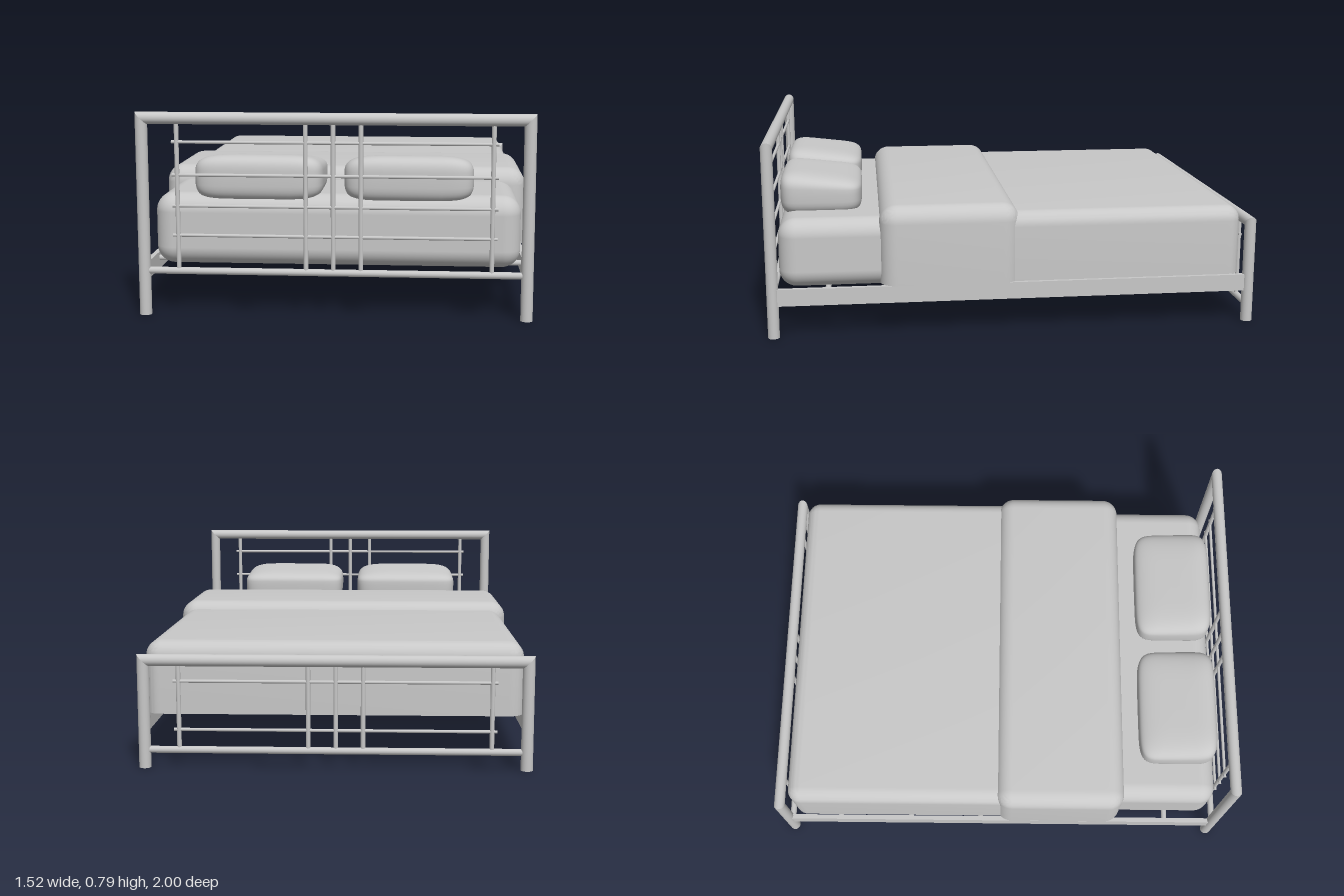
import * as THREE from 'three';
import { mergeVertices, toCreasedNormals } from 'three/addons/utils/BufferGeometryUtils.js';
import { RoundedBoxGeometry } from 'three/addons/geometries/RoundedBoxGeometry.js';

export function createModel() {
  const root = new THREE.Group();
  root.name = 'doubleBed';
  const grey = new THREE.MeshStandardMaterial({ color: 0xc8c8c8 });
  grey.name = 'plainGrey';

  const add = (parent, name, geometry, x = 0, y = 0, z = 0) => {
    const mesh = new THREE.Mesh(geometry, grey);
    mesh.name = name;
    mesh.position.set(x, y, z);
    parent.add(mesh);
    return mesh;
  };

  const group = (name, z) => {
    const g = new THREE.Group();
    g.name = name;
    g.position.z = z;
    root.add(g);
    return g;
  };

  // Plain round bars along y or x
  const upright = (parent, name, r, x, y0, y1) =>
    add(parent, name, new THREE.CylinderGeometry(r, r, y1 - y0, 12), x, (y0 + y1) / 2);
  const crossbar = (parent, name, r, half, y, z = 0) => {
    const g = new THREE.CylinderGeometry(r, r, half * 2, 12).rotateZ(Math.PI / 2);
    return add(parent, name, g, 0, y, z);
  };

  // Tubular end frame: posts and top rail meet in mitred corners
  const R = 0.0235, POST_X = 0.737;
  function endFrame(parent, height) {
    const top = height - R;
    for (const side of [-1, 1]) {
      const g = new THREE.CylinderGeometry(R, R, top, 20, 1).translate(0, top / 2, 0);
      const p = g.attributes.position;
      for (let i = 0; i < p.count; i++) {
        if (p.getY(i) > top / 2) p.setY(i, top + side * p.getX(i));
      }
      add(parent, side < 0 ? 'rightPost' : 'leftPost', g, side * POST_X);
    }
    const rail = new THREE.CylinderGeometry(R, R, POST_X * 2, 20, 1).rotateZ(Math.PI / 2);
    const p = rail.attributes.position;
    for (let i = 0; i < p.count; i++) {
      p.setX(i, Math.sign(p.getX(i)) * (POST_X + p.getY(i)));
    }
    add(parent, 'topRail', rail, 0, top);
  }

  // Lattice of uprights and thin crossbars
  function lattice(parent, bottom, top, rows) {
    crossbar(parent, 'bottomRail', 0.014, 0.725, bottom);
    for (const x of [-0.602, -0.108, -0.003, 0.103, 0.602]) {
      upright(parent, 'latticeUpright', 0.009, x, bottom, top);
    }
    for (const y of rows) crossbar(parent, 'latticeBar', 0.0065, 0.622, y);
  }

  const head = group('headboard', 0.9765);
  endFrame(head, 0.792);
  lattice(head, 0.175, 0.765, [0.315, 0.43, 0.55, 0.677]);

  const foot = group('footboard', -0.9765);
  endFrame(foot, 0.445);
  lattice(foot, 0.07, 0.42, [0.15, 0.34]);

  // Side rails and the round slats between them
  for (const side of [-1, 1]) {
    add(root, side < 0 ? 'rightSideRail' : 'leftSideRail',
      new THREE.BoxGeometry(0.02, 0.069, 1.93), side * 0.74, 0.1665, 0);
  }
  for (const z of [-0.735, -0.41, -0.09, 0.2, 0.48, 0.757]) {
    crossbar(root, 'slat', 0.012, 0.735, 0.176, z);
  }

  // Soft block given by its limits, with a rounded or a flat-cut base
  function softBlock(name, x0, x1, y0, y1, z0, z1, r, flatBase) {
    const drop = flatBase ? r * 1.5 : 0;
    const h = y1 - y0 + drop;
    let g = new RoundedBoxGeometry(x1 - x0, h, z1 - z0, 6, r);
    if (flatBase) {
      const p = g.attributes.position;
      for (let i = 0; i < p.count; i++) p.setY(i, Math.max(p.getY(i), -h / 2 + drop));
      g = toCreasedNormals(g, 0.7);
    }
    add(root, name, g, (x0 + x1) / 2, y1 - h / 2, (z0 + z1) / 2);
  }
  softBlock('mattress', -0.705, 0.715, 0.188, 0.47, -0.93, 0.952, 0.072, false);
  softBlock('blanket', -0.728, 0.741, 0.203, 0.487, -0.942, 0.08, 0.06, true);
  softBlock('foldedBlanket', -0.75, 0.76, 0.203, 0.523, -0.018, 0.547, 0.07, true);

  // Pillows: squared-off ellipsoids, thinner toward the foot and sunk into the mattress
  const soft = (v, e) => Math.sign(v) * Math.pow(Math.abs(v), e);
  function pillow(name, x) {
    let g = new THREE.SphereGeometry(1, 48, 28);
    g.deleteAttribute('uv');
    g.deleteAttribute('normal');
    g = mergeVertices(g, 1e-4);
    const p = g.attributes.position;
    for (let i = 0; i < p.count; i++) {
      const y = p.getY(i);
      const ring = Math.sqrt(Math.max(0, 1 - y * y));
      const a = Math.atan2(p.getZ(i), p.getX(i));
      const spread = ring < 1e-3 ? 0 : Math.pow(ring, 0.45);
      const px = spread * soft(Math.cos(a), 0.32);
      const pz = spread * soft(Math.sin(a), 0.32);
      const py = soft(y, 0.55) * (y > 0 ? 0.075 + 0.022 * pz : 0.1);
      p.setXYZ(i, px * 0.252, py, pz * 0.17);
    }
    g.computeVertexNormals();
    add(root, name, g, x, 0.533, 0.782);
  }
  pillow('rightPillow', -0.3);
  pillow('leftPillow', 0.283);

  return root;
}
